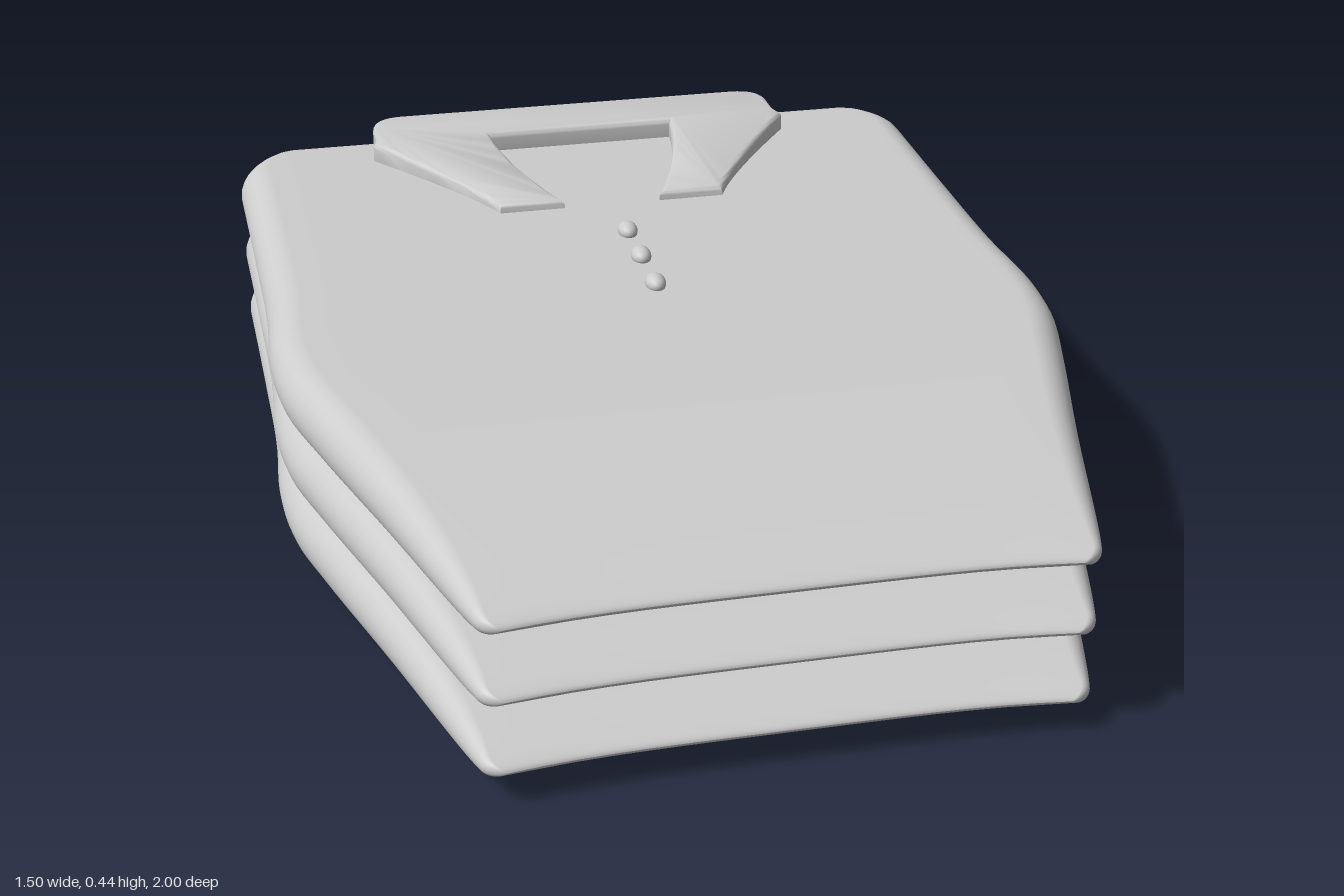
import * as THREE from 'three';
import { toCreasedNormals } from 'three/addons/utils/BufferGeometryUtils.js';

const fabric = new THREE.MeshStandardMaterial({ color: 0xcccccc });
fabric.name = 'lightGreyFabric';

// quarter-ellipse rise from 0 to 1 over the given length
const rise = (s, length) => {
  const u = Math.min(Math.max(s / length, 0), 1);
  return Math.sqrt(1 - (1 - u) ** 2);
};

// half-width of the folded shirt along z, as [z, x]
const sides = new THREE.CatmullRomCurve3(
  [[-1, 0.745], [-0.5, 0.74], [-0.2, 0.74], [0, 0.75], [0.15, 0.738], [0.3, 0.7], [0.6, 0.615], [0.95, 0.522], [1, 0.505]]
    .map(([z, x]) => new THREE.Vector3(x, 0, z)), false, 'centripetal');
const sidePoints = sides.getPoints(200);

function halfWidth(z) {
  let i = 1;
  while (i < sidePoints.length - 1 && sidePoints[i].z < z) i++;
  const a = sidePoints[i - 1], b = sidePoints[i];
  const w = THREE.MathUtils.lerp(a.x, b.x, (z - a.z) / (b.z - a.z));
  return w - 0.235 * (1 - rise(z + 1, 0.15)) - 0.03 * (1 - rise(1 - z, 0.03));
}

// pillow-like folded shirt: stadium cross-sections lofted from back to front
function shirtGeometry() {
  const rows = 90, arc = 14, flat = 16, ring = 2 * (arc + flat);
  const positions = [], index = [];
  for (let r = 0; r <= rows; r++) {
    const z = -Math.cos((r / rows) * Math.PI);
    const w = halfWidth(z);
    const h = 0.066 * rise(1 - z, 0.8) * rise(z + 1, 0.07);
    const dent = 0.02 * THREE.MathUtils.smoothstep(z, 0.8, 1);
    for (let k = 0; k < ring; k++) {
      const half = k < ring / 2 ? 1 : -1;
      const j = k % (ring / 2);
      let x, y;
      if (j < arc) {
        const a = -Math.PI / 2 + (j / arc) * Math.PI;
        x = w - h + h * Math.cos(a);
        y = h * Math.sin(a);
      } else {
        x = (w - h) * (1 - 2 * (j - arc) / flat);
        y = h;
      }
      const inset = dent * Math.max(0, 1 - (x / 0.47) ** 4);
      positions.push(half * x, half * y, z - inset);
    }
  }
  for (let r = 0; r < rows; r++) {
    for (let k = 0; k < ring; k++) {
      const a = r * ring + k, b = r * ring + (k + 1) % ring;
      index.push(a, b, a + ring, b, b + ring, a + ring);
    }
  }
  const g = new THREE.BufferGeometry();
  g.setAttribute('position', new THREE.Float32BufferAttribute(positions, 3));
  g.setIndex(index);
  g.computeVertexNormals();
  return g;
}

// turned-down collar: an open U drawn flat, then sloped down to the points
function collarGeometry() {
  const s = new THREE.Shape();
  s.moveTo(-0.38, 1);
  s.quadraticCurveTo(-0.445, 0.995, -0.445, 0.93);
  s.lineTo(-0.445, 0.875);
  s.lineTo(-0.455, 0.84);
  s.quadraticCurveTo(-0.28, 0.6, -0.235, 0.49);
  s.lineTo(-0.1, 0.49);
  s.quadraticCurveTo(-0.185, 0.68, -0.2, 0.845);
  s.lineTo(0.2, 0.845);
  s.quadraticCurveTo(0.185, 0.68, 0.1, 0.49);
  s.lineTo(0.235, 0.49);
  s.quadraticCurveTo(0.28, 0.6, 0.455, 0.84);
  s.lineTo(0.445, 0.875);
  s.lineTo(0.445, 0.93);
  s.quadraticCurveTo(0.445, 0.995, 0.38, 1);
  s.closePath();
  const bevel = 0.012;
  const g = new THREE.ExtrudeGeometry(s, {
    depth: 0.07 - 2 * bevel, bevelThickness: bevel, bevelSize: bevel,
    bevelOffset: -bevel, bevelSegments: 4, curveSegments: 10,
  });
  g.rotateX(-Math.PI / 2);
  g.translate(0, 0.37 + bevel, 0);
  const p = g.attributes.position;
  for (let i = 0; i < p.count; i++) {
    const drop = 0.024 * THREE.MathUtils.clamp((p.getZ(i) + 0.85) / 0.36, 0, 1);
    p.setY(i, p.getY(i) - drop);
  }
  return toCreasedNormals(g, 0.7);
}

export function createModel() {
  const model = new THREE.Group();
  model.name = 'foldedShirtStack';
  const add = (name, geometry, x, y, z) => {
    const mesh = new THREE.Mesh(geometry, fabric);
    mesh.name = name;
    mesh.position.set(x, y, z);
    model.add(mesh);
  };

  // three stacked shirts
  const shirt = shirtGeometry();
  ['bottomShirt', 'middleShirt', 'topShirt'].forEach((name, i) => add(name, shirt, 0, 0.067 + i * 0.133, 0));

  add('collar', collarGeometry(), 0, 0, 0);

  // button row
  const button = new THREE.SphereGeometry(1, 20, 14).scale(0.02, 0.018, 0.03);
  [-0.335, -0.205, -0.07].forEach((z, i) => add('button' + (i + 1), button, 0, 0.405, z));

  return model;
}
